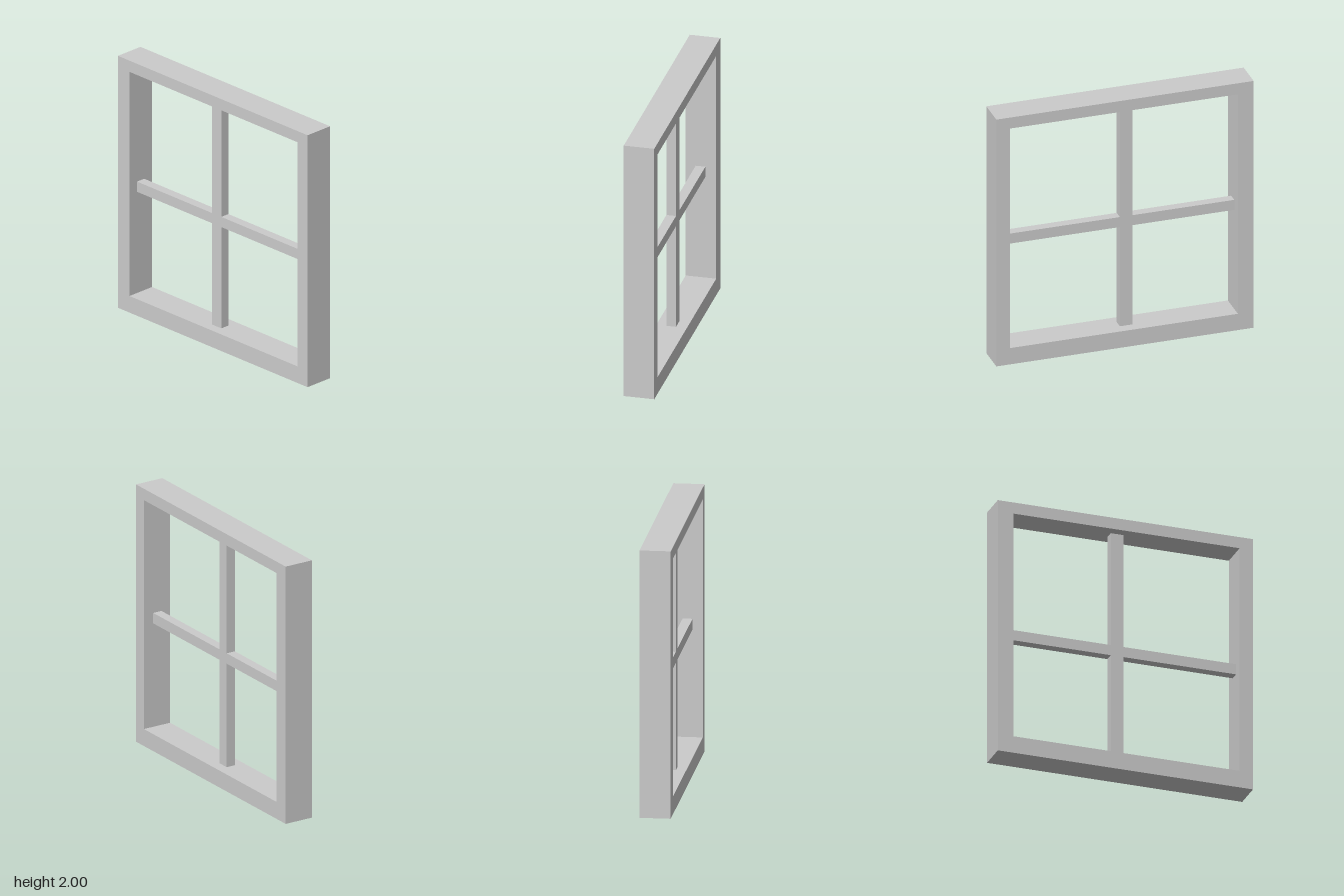
import * as THREE from 'three';

// Extrude a shape between two depths, with crisp edges
function slab(name, shape, zBack, zFront, material) {
  const geometry = new THREE.ExtrudeGeometry(shape, { depth: zFront - zBack, bevelEnabled: false });
  geometry.translate(0, 0, zBack);
  const mesh = new THREE.Mesh(geometry, material);
  mesh.name = name;
  return mesh;
}

const points = (list) => list.map(([x, y]) => new THREE.Vector2(x, y));
const rectangle = (x0, x1, y0, y1) => points([[x0, y0], [x1, y0], [x1, y1], [x0, y1]]);

export function createModel() {
  const group = new THREE.Group();
  group.name = 'window';
  const material = new THREE.MeshStandardMaterial({ color: 0xcccccc, flatShading: true });

  // Opening of the frame, slightly off centre
  const left = -0.862, right = 0.88, bottom = 0.132, top = 1.911;

  // Outer frame with one rectangular opening
  const frame = new THREE.Shape(rectangle(-0.983, 0.983, 0, 2));
  frame.holes.push(new THREE.Path(rectangle(left, right, bottom, top).reverse()));
  group.add(slab('frame', frame, -0.114, 0.114, material));

  // Glazing bars: one flush cross spanning the opening
  const x0 = -0.085, x1 = 0.012, y0 = 0.936, y1 = 1.017;
  const cross = new THREE.Shape(points([
    [x0, bottom], [x1, bottom], [x1, y0], [right, y0], [right, y1], [x1, y1],
    [x1, top], [x0, top], [x0, y1], [left, y1], [left, y0], [x0, y0],
  ]));
  group.add(slab('glazingBars', cross, -0.033, 0.039, material));

  return group;
}
